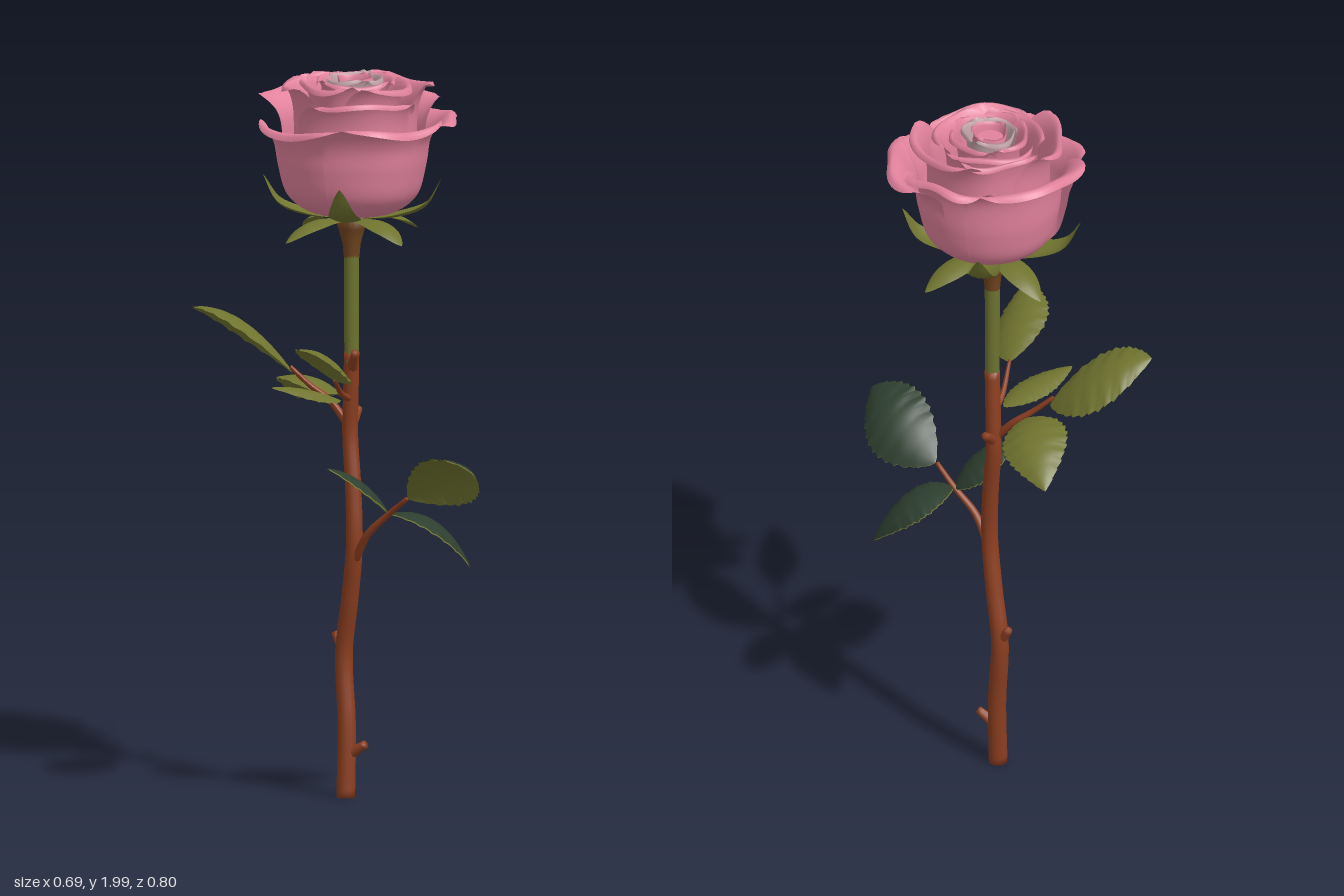
import * as THREE from 'three';
import { ParametricGeometry } from 'three/addons/geometries/ParametricGeometry.js';

const V = (x, y, z) => new THREE.Vector3(x, y, z);
const paint = (name, color) => {
  const m = new THREE.MeshStandardMaterial({ color, side: THREE.DoubleSide });
  m.name = name;
  return m;
};

export function createModel() {
  const rose = new THREE.Group();
  rose.name = 'rose';
  const pink = paint('petalPink', 0xe2829d);
  const dusty = paint('dustyPetal', 0xc4a4ab);
  const olive = paint('leafOlive', 0x70742f);
  const dark = paint('leafDarkGreen', 0x2d3f2f);
  const bark = paint('stemBrown', 0x8b3e20);
  const green = paint('stemGreen', 0x6c722f);
  const base = paint('receptacleBrown', 0x70451f);

  const add = (name, geometry, material) => {
    const mesh = new THREE.Mesh(geometry, material);
    mesh.name = name;
    rose.add(mesh);
    return mesh;
  };
  const surface = (name, shape, slices, stacks, material) => {
    const g = new ParametricGeometry(shape, slices, stacks);
    g.computeVertexNormals();
    return add(name, g, material);
  };

  // Tube tapering from r0 to r1 with closed ends
  function taper(name, points, r0, r1, material, segments = 16, sides = 12) {
    const curve = new THREE.CatmullRomCurve3(points);
    const g = new THREE.TubeGeometry(curve, segments, 1, sides);
    const pos = g.attributes.position, p = V();
    for (let i = 0; i < pos.count; i++) {
      const ring = Math.floor(i / (sides + 1));
      const t = Math.min(Math.max((ring - 1) / (segments - 2), 0), 1);
      const center = curve.getPointAt(t);
      const axis = curve.getPointAt(ring / segments);
      const r = ring === 0 || ring === segments ? 0 : r0 + (r1 - r0) * t;
      p.fromBufferAttribute(pos, i).sub(axis).multiplyScalar(r).add(center);
      pos.setXYZ(i, p.x, p.y, p.z);
    }
    g.computeVertexNormals();
    add(name, g, material);
  }

  // Stem: woody lower part, green upper part, flared receptacle
  taper('lowerStem', [
    V(0.035, 0.005, -0.058), V(0.04, 0.2, -0.066), V(0.037, 0.4, -0.084), V(0.045, 0.55, -0.052),
    V(0.05, 0.7, -0.024), V(0.05, 0.85, -0.034), V(0.047, 1.0, -0.056), V(0.047, 1.1, -0.05),
    V(0.046, 1.23, -0.036)], 0.026, 0.021, bark, 60, 14);
  taper('upperStem', [V(0.046, 1.2, -0.037), V(0.045, 1.35, -0.034), V(0.045, 1.52, -0.032)],
    0.02, 0.021, green, 20, 14);
  const receptacle = add('receptacle', new THREE.LatheGeometry([
    [0.021, 1.49], [0.025, 1.53], [0.036, 1.57], [0.055, 1.615], [0.001, 1.63],
  ].map(([x, y]) => new THREE.Vector2(x, y)), 20), base);
  receptacle.position.set(0.045, 0, -0.033);

  // Blunt thorns
  [
    [V(0.04, 0.12, -0.06), V(0.083, 0.155, -0.025)],
    [V(0.037, 0.4, -0.084), V(0.02, 0.45, -0.115)],
    [V(0.047, 1.02, -0.055), V(0.082, 1.065, -0.1)],
    [V(0.047, 1.18, -0.04), V(0.044, 1.235, 0.008)],
  ].forEach(([a, b]) => taper('thorn', [a, a.clone().lerp(b, 0.6), b], 0.017, 0.011, bark, 8, 8));

  // Leaf stalks
  taper('upperStalk', [V(0.045, 1.02, -0.05), V(0, 1.09, -0.09), V(-0.05, 1.13, -0.11), V(-0.1, 1.18, -0.135)],
    0.012, 0.006, bark, 16, 8);
  taper('frontStalk', [V(0.045, 1.1, -0.045), V(0.01, 1.12, 0), V(-0.035, 1.175, 0.09)], 0.01, 0.005, bark, 12, 8);
  taper('lowerStalk', [V(0.05, 0.66, -0.02), V(0.075, 0.74, 0.03), V(0.12, 0.8, 0.08), V(0.155, 0.85, 0.14)],
    0.013, 0.006, bark, 16, 8);

  // Serrated leaf with an olive underside, folded along a curved midrib; roll tilts it sideways
  function leaf(name, a, b, c, width, roll, top, teeth = 13) {
    const curve = new THREE.QuadraticBezierCurve3(a, b, c);
    const axis = c.clone().sub(a).normalize();
    const side = axis.clone().cross(V(0, 1, 0)).normalize();
    side.y += roll;
    side.normalize();
    const normal = side.clone().cross(axis).normalize();
    const sheet = (offset) => (s, t, target) => {
      const across = s * 2 - 1;
      let half = width / 2 * Math.pow(Math.abs(Math.sin(Math.PI * Math.pow(t, 0.85))), 0.85);
      if (Math.abs(across) > 0.95) half *= 1.06 - 0.12 * ((t * teeth) % 1);
      const fold = 0.16 * width * across * across - 0.02 * width * Math.abs(Math.sin(t * 20) * across);
      curve.getPoint(t, target).addScaledVector(side, across * half)
        .addScaledVector(normal, offset - fold * Math.sin(Math.PI * t));
    };
    surface(name, sheet(0.0015), 10, teeth * 4, top);
    surface(name + 'Underside', sheet(-0.0015), 10, teeth * 4, olive);
  }
  leaf('upperLeafLeft', V(-0.09, 1.16, -0.14), V(-0.2, 1.34, -0.25), V(-0.345, 1.335, -0.25), 0.205, -0.35, olive);
  leaf('upperLeafBack', V(-0.03, 1.11, -0.11), V(-0.01, 1.18, -0.25), V(-0.01, 1.05, -0.395), 0.175, -0.3, olive);
  leaf('upperLeafFront', V(-0.035, 1.175, 0.085), V(-0.08, 1.28, 0.18), V(-0.14, 1.28, 0.31), 0.16, 0.5, olive);
  leaf('upperLeafSmall', V(0.01, 1.1, -0.02), V(-0.09, 1.15, 0.03), V(-0.2, 1.155, 0.05), 0.11, 0.1, olive);
  leaf('lowerLeafFront', V(0.16, 0.85, 0.14), V(0.29, 0.98, 0.26), V(0.27, 0.955, 0.4), 0.2, 0.8, dark);
  leaf('lowerLeafOuter', V(0.125, 0.8, 0.08), V(0.27, 0.82, 0.08), V(0.34, 0.65, 0.11), 0.16, 0, dark);
  leaf('lowerLeafInner', V(0.12, 0.8, 0.075), V(0.06, 0.91, 0.07), V(-0.05, 0.93, 0.07), 0.135, 0, dark);

  // Sepals: alternately curling up around the cup and drooping
  for (let i = 0; i < 8; i++) {
    const up = i % 2 === 0;
    const angle = 0.4 + i * Math.PI / 4;
    const at = (r, y) => V(0.045 + r * Math.cos(angle), y, -0.025 + r * Math.sin(angle));
    const curve = new THREE.CatmullRomCurve3(up
      ? [at(0.03, 1.6), at(0.12, 1.605), at(0.2, 1.635), at(0.245, 1.715)]
      : [at(0.03, 1.6), at(0.1, 1.605), at(0.165, 1.588), at(0.225, 1.55)]);
    const side = V(-Math.sin(angle), 0, Math.cos(angle));
    surface('sepal', (s, t, target) => {
      const across = s * 2 - 1;
      const half = 0.042 * Math.pow(Math.max(0, Math.sin(Math.PI * (0.15 + 0.85 * t))), 0.8);
      curve.getPoint(t, target).addScaledVector(side, across * half);
      target.y += 0.012 * across * across * (up ? 1 : -1) * Math.sin(Math.PI * t);
    }, 6, 16, olive);
  }

  // Petal: cupped wall flaring to a rolled lip, with a rounded outline
  function petal(name, degrees, span, cup, lip, top, material, cx, cz, wave) {
    const flare = lip - cup;
    const profile = new THREE.CatmullRomCurve3([
      V(0.02, 1.615, 0), V(cup * 0.55, 1.62, 0), V(cup * 0.86, 1.665, 0), V(cup * 0.99, 1.75, 0),
      V(cup + flare * 0.14, top - 0.06, 0), V(cup + flare * 0.5, top - 0.016, 0),
      V(cup + flare * 0.86, top, 0), V(lip, top - 0.018, 0)]);
    surface(name, (s, t, target) => {
      const u = s * 2 - 1;
      const p = profile.getPointAt(t * (1 - 0.2 * Math.pow(Math.abs(u), 4)));
      const a = THREE.MathUtils.degToRad(degrees + u * span / 2);
      const rim = Math.pow(t, 6);
      const r = p.x + 0.006 * u * t + wave * 0.7 * rim * Math.sin(u * 7 + degrees);
      const y = p.y + wave * rim * Math.sin(u * 5 + degrees * 2);
      target.set(cx + r * Math.cos(a), y, cz + r * Math.sin(a));
    }, 28, 36, material);
  }
  // Outer petals: angle, span, cup radius, lip radius, lip height
  [
    [75, 104, 0.202, 0.272, 1.875], [150, 104, 0.204, 0.265, 1.868], [10, 94, 0.2, 0.285, 1.885],
    [252, 104, 0.194, 0.288, 1.935], [318, 80, 0.197, 0.272, 1.925],
  ].forEach(p => petal('outerPetal', ...p, pink, 0.045, -0.015, 0.01));
  // Middle petals
  [
    [95, 130, 0.166, 0.206, 1.94], [200, 125, 0.16, 0.2, 1.968], [345, 130, 0.168, 0.215, 1.97],
    [275, 110, 0.15, 0.182, 1.975],
  ].forEach(p => petal('middlePetal', ...p, pink, 0.045, -0.015, 0.008));
  // Inner petals
  [
    [40, 160, 0.115, 0.158, 1.97], [160, 150, 0.112, 0.146, 1.975], [280, 160, 0.114, 0.15, 1.978],
    [100, 165, 0.082, 0.112, 1.98], [220, 160, 0.08, 0.108, 1.985], [340, 160, 0.082, 0.11, 1.982],
  ].forEach(p => petal('innerPetal', ...p, pink, 0.05, -0.025, 0.006));
  // Tight spiral heart
  [
    [20, 170, 0.058, 0.078, 1.99], [140, 165, 0.056, 0.075, 1.987], [260, 165, 0.057, 0.077, 1.992],
  ].forEach(p => petal('heartPetal', ...p, dusty, 0.05, -0.027, 0.004));
  [
    [80, 210, 0.041, 0.054, 1.988], [260, 210, 0.04, 0.052, 1.99],
  ].forEach(p => petal('heartPetal', ...p, pink, 0.05, -0.027, 0.004));
  const core = add('core', new THREE.CylinderGeometry(0.036, 0.036, 0.33, 20), pink);
  core.position.set(0.05, 1.8, -0.027);

  return rose;
}
